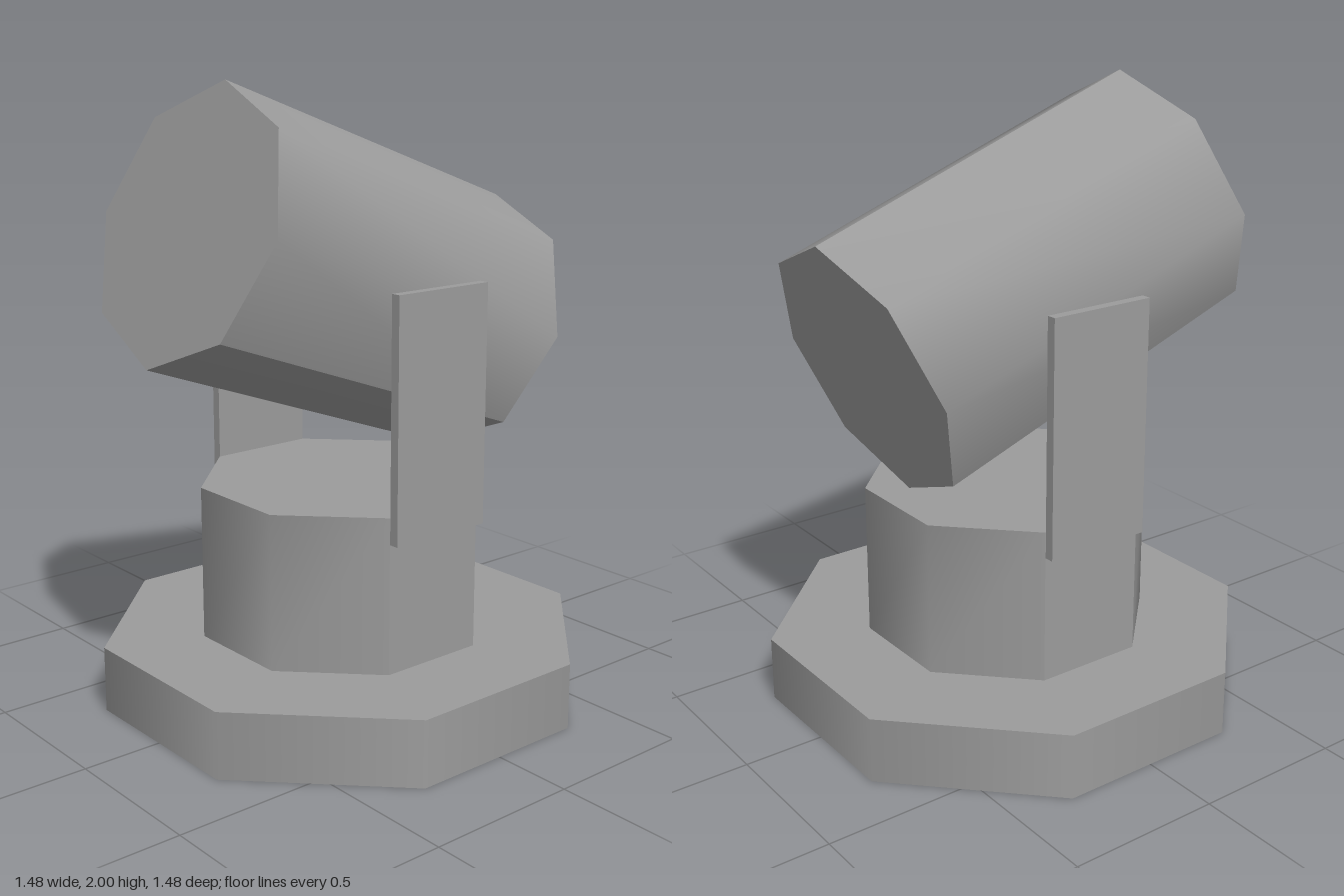
import * as THREE from 'three';
import { mergeGeometries } from 'three/addons/utils/BufferGeometryUtils.js';

const SIDES = 8, STEP = Math.PI / 4, TURN = STEP / 2;
const BASE_R = 0.8, BASE_TOP = 0.215;
const DRUM_R = 0.473, DRUM_TOP = 0.72;
const BARREL_R = 0.437, BARREL_L = 1.2;

const solid = new THREE.MeshStandardMaterial({ color: 0x9b9b9b });
const shell = new THREE.MeshStandardMaterial({ color: 0x9b9b9b, side: THREE.DoubleSide });

function add(parent, name, geometry, material) {
  const mesh = new THREE.Mesh(geometry, material);
  mesh.name = name;
  parent.add(mesh);
  return mesh;
}

// Open wall made of runs of facets: smooth within a run, creased between runs
function creasedWall(radius, height, start, runs) {
  let theta = start;
  return mergeGeometries(runs.map((facets) => {
    const run = new THREE.CylinderGeometry(radius, radius, height, facets, 1, true, theta, facets * STEP);
    run.computeVertexNormals();
    theta += facets * STEP;
    return run;
  }));
}

// Eight-sided end cap facing up (1) or down (-1)
function cap(radius, y, facing, turn) {
  return new THREE.CircleGeometry(radius, SIDES, turn)
    .rotateX(-facing * Math.PI / 2).translate(0, y, 0);
}

export function createModel() {
  const model = new THREE.Group();
  model.name = 'swivelLamp';

  // Hollow base, open underneath
  const base = new THREE.Group();
  base.name = 'base';
  model.add(base);
  add(base, 'baseWall', new THREE.CylinderGeometry(BASE_R, BASE_R, BASE_TOP, SIDES, 1, true, TURN)
    .translate(0, BASE_TOP / 2, 0), shell);
  add(base, 'baseTop', new THREE.RingGeometry(DRUM_R, BASE_R, SIDES, 1, TURN)
    .rotateX(-Math.PI / 2).translate(0, BASE_TOP, 0), shell);

  // Hollow pedestal opening into the base, with a flat facet under each bracket
  const pedestal = new THREE.Group();
  pedestal.name = 'pedestal';
  model.add(pedestal);
  add(pedestal, 'pedestalWall', creasedWall(DRUM_R, DRUM_TOP - BASE_TOP, -3 * TURN, [3, 1, 3, 1])
    .translate(0, (BASE_TOP + DRUM_TOP) / 2, 0), shell);
  add(pedestal, 'pedestalTop', cap(DRUM_R, DRUM_TOP, 1, TURN), shell);

  // Side brackets
  for (const [name, s] of [['leftBracket', 1], ['rightBracket', -1]]) {
    add(model, name, new THREE.BoxGeometry(0.032, 0.765, 0.36), solid)
      .position.set(s * 0.453, 1.0175, 0);
  }

  // Barrel, tilted 20 degrees up towards the front, creased on top and beside its underside
  const barrel = add(model, 'barrel', mergeGeometries([
    creasedWall(BARREL_R, BARREL_L, -STEP, [2, 3, 3]),
    cap(BARREL_R, BARREL_L / 2, 1, 0),
    cap(BARREL_R, -BARREL_L / 2, -1, 0),
  ]), solid);
  barrel.rotation.x = THREE.MathUtils.degToRad(70);
  barrel.position.set(0, 1.385, 0.03);

  return model;
}
